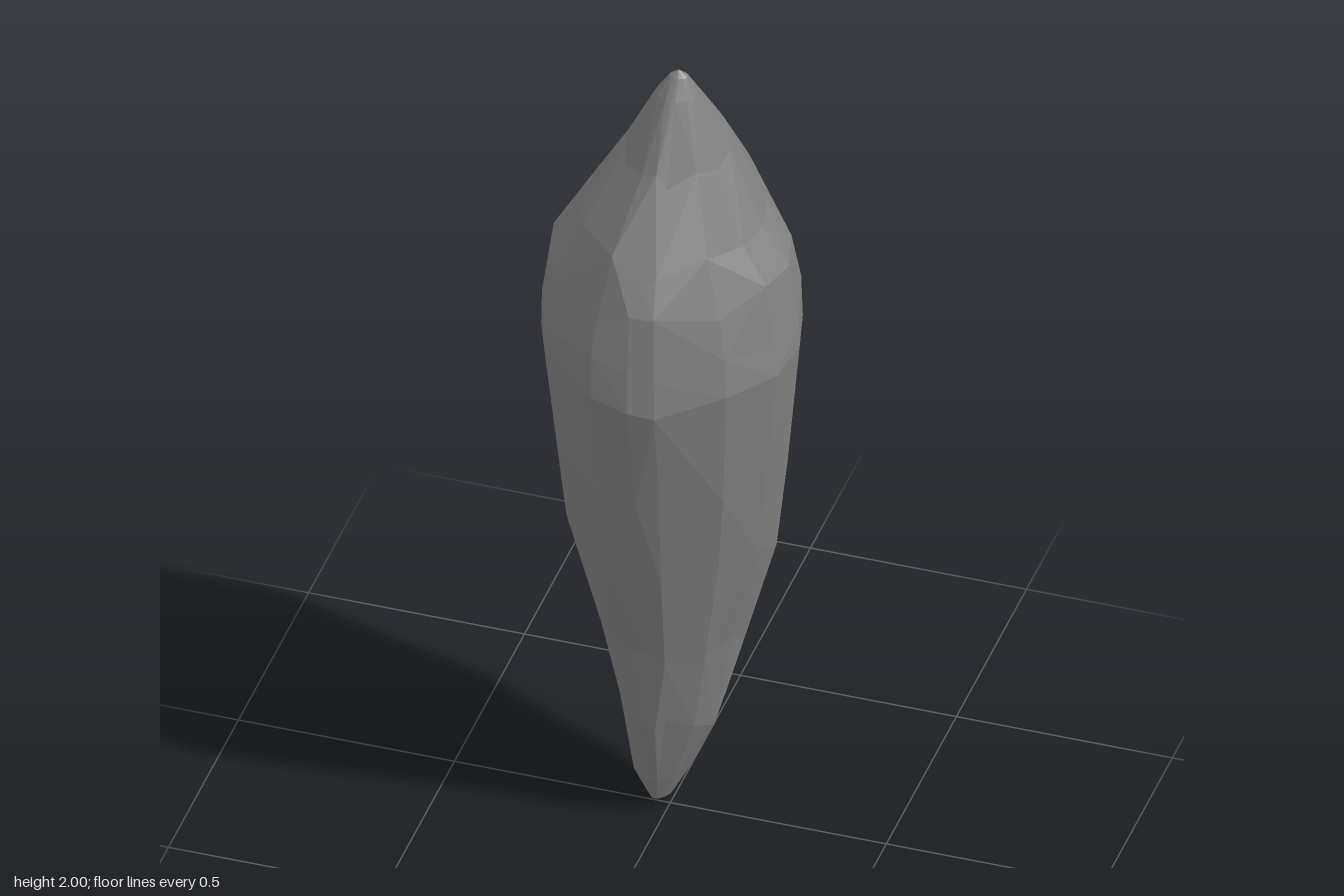
import * as THREE from 'three';

// Plan outline of the shard, [x, z], going from front centre towards +x
const outline = [
  [0, 0.31], [0.06, 0.3], [0.2, 0.21], [0.28, 0.09], [0.3, -0.02], [0.26, -0.16], [0.155, -0.28], [0.08, -0.31],
  [-0.13, -0.3], [-0.19, -0.25], [-0.28, -0.09], [-0.3, -0.02], [-0.28, 0.08], [-0.24, 0.165], [-0.09, 0.295],
];

// Cross-sections: [y, min x, max x, min z, max z]
const sections = [
  [0.03, -0.053, 0.005, -0.048, 0.035],
  [0.1, -0.087, 0.042, -0.076, 0.065],
  [0.28, -0.12, 0.12, -0.128, 0.112],
  [0.5, -0.171, 0.169, -0.168, 0.147],
  [0.76, -0.247, 0.236, -0.24, 0.205],
  [1.0, -0.267, 0.267, -0.265, 0.258],
  [1.28, -0.297, 0.298, -0.3, 0.312],
  [1.37, -0.298, 0.292, -0.309, 0.302],
  [1.49, -0.28, 0.268, -0.296, 0.282],
  [1.61, -0.207, 0.207, -0.266, 0.24],
  [1.78, -0.112, 0.127, -0.185, 0.125],
  [1.94, -0.033, 0.062, -0.055, 0.042],
  [1.985, -0.003, 0.04, -0.02, 0.012],
];

// Seeded random numbers for the irregular facets
function seeded(seed) {
  return () => (seed = (seed * 16807) % 2147483647) / 2147483647;
}

function shardGeometry() {
  const random = seeded(41);
  const n = outline.length;
  const positions = [];
  const indices = [];

  sections.forEach(([y, x0, x1, z0, z1], row) => {
    const uneven = row > 1 && row < sections.length - 2;
    for (const [px, pz] of outline) {
      // Slight dents inward and uneven heights
      const k = 1 - 0.02 * random();
      const dy = uneven ? (random() - 0.5) * 0.05 : 0;
      positions.push(
        (x0 + x1) / 2 + (px / 0.3) * ((x1 - x0) / 2) * k,
        y + dy,
        (z0 + z1) / 2 + (pz / 0.31) * ((z1 - z0) / 2) * k,
      );
    }
  });

  // Side facets, split along the more convex diagonal
  const point = (i) => new THREE.Vector3().fromArray(positions, i * 3);
  for (let r = 0; r < sections.length - 1; r++) {
    for (let i = 0; i < n; i++) {
      const a = r * n + i, b = r * n + ((i + 1) % n), c = b + n, d = a + n;
      const plane = new THREE.Plane().setFromCoplanarPoints(point(a), point(b), point(c));
      if (plane.distanceToPoint(point(d)) < 0) indices.push(a, b, c, a, c, d);
      else indices.push(a, b, d, b, c, d);
    }
  }

  // Lower and upper tips
  const bottom = positions.length / 3, top = bottom + 1;
  positions.push(-0.022, 0, -0.02, 0.018, 2, -0.004);
  const last = (sections.length - 1) * n;
  for (let i = 0; i < n; i++) {
    const j = (i + 1) % n;
    indices.push(bottom, j, i, top, last + i, last + j);
  }

  const geometry = new THREE.BufferGeometry();
  geometry.setAttribute('position', new THREE.Float32BufferAttribute(positions, 3));
  geometry.setIndex(indices);
  geometry.computeVertexNormals();
  return geometry;
}

export function createModel() {
  const group = new THREE.Group();
  group.name = 'crystalShard';
  const material = new THREE.MeshStandardMaterial({ color: 0x828282, flatShading: true });
  const shard = new THREE.Mesh(shardGeometry(), material);
  shard.name = 'shardBody';
  group.add(shard);
  return group;
}
